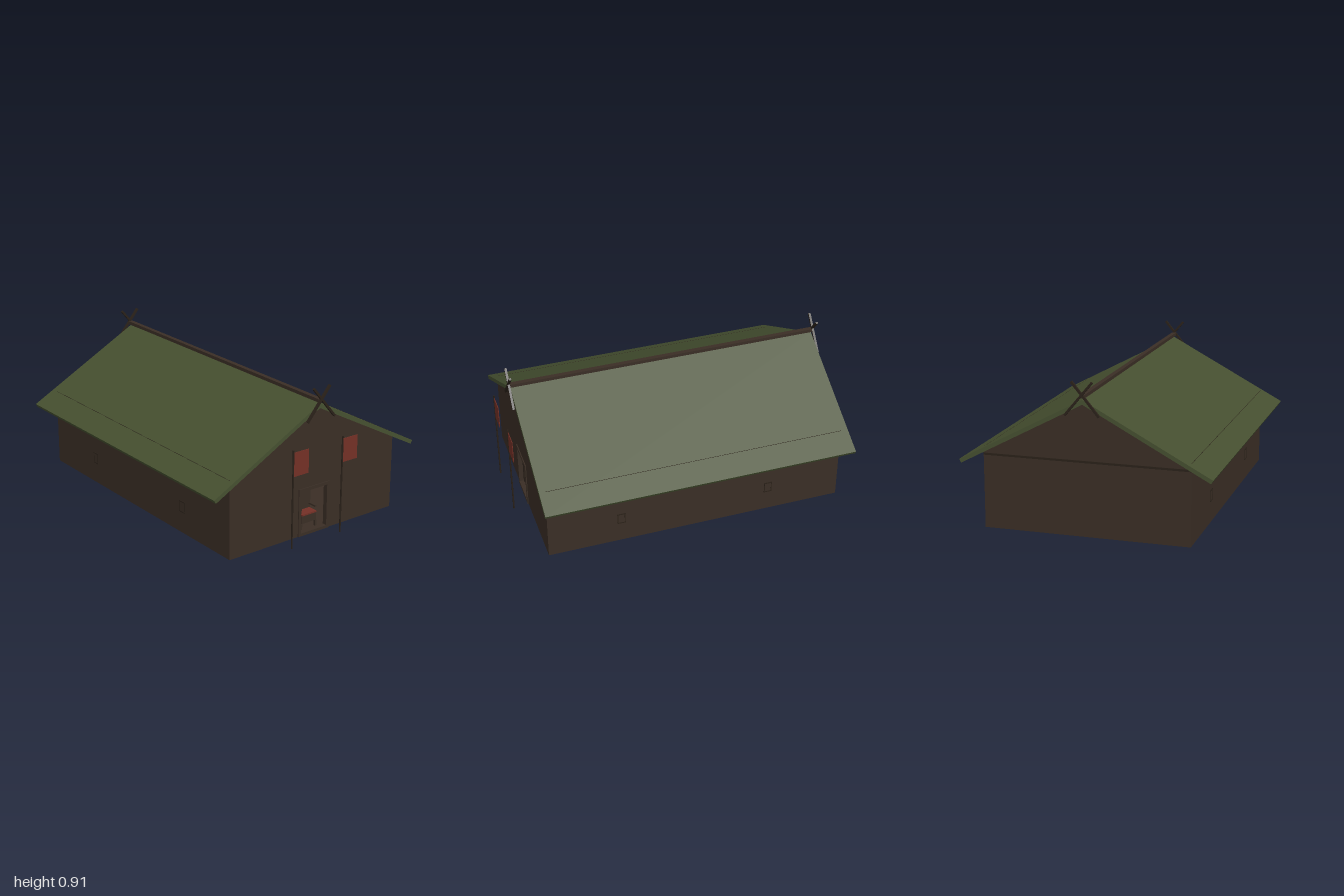
import * as THREE from 'three';

const mat = (name, color) => {
  const m = new THREE.MeshStandardMaterial({ color });
  m.name = name;
  return m;
};

export function createModel() {
  const house = new THREE.Group();
  house.name = 'longhouse';

  const timber = mat('timber brown', 0x3a2e25);
  const darkTimber = mat('dark timber', 0x2a2119);
  const turf = mat('turf green', 0x465030);
  const cloth = mat('red cloth', 0x743026);

  const add = (name, geometry, material, x = 0, y = 0, z = 0, parent = house) => {
    const mesh = new THREE.Mesh(geometry, material);
    mesh.name = name;
    mesh.position.set(x, y, z);
    parent.add(mesh);
    return mesh;
  };
  // Box given by its lower and upper limits on each axis
  const box = (name, material, x0, x1, y0, y1, z0, z1, parent) =>
    add(name, new THREE.BoxGeometry(x1 - x0, y1 - y0, z1 - z0), material,
      (x0 + x1) / 2, (y0 + y1) / 2, (z0 + z1) / 2, parent);
  const extrude = (points, depth, hole) => {
    const shape = new THREE.Shape(points.map(([x, y]) => new THREE.Vector2(x, y)));
    if (hole) shape.holes.push(new THREE.Path(hole.map(([x, y]) => new THREE.Vector2(x, y))));
    return new THREE.ExtrudeGeometry(shape, { depth, bevelEnabled: false });
  };

  // Gable walls, the front one with a doorway
  const W = 0.612, FRONT = 0.9, BACK = -0.94, T = 0.02;
  const gable = [[-W, 0], [W, 0], [W, 0.465], [0, 0.79], [-W, 0.465]];
  const doorway = [[-0.097, 0.015], [-0.097, 0.277], [0.097, 0.277], [0.097, 0.015]];
  add('frontWall', extrude(gable, T, doorway), timber, 0, 0, FRONT - T);
  add('backWall', extrude(gable, T), timber, 0, 0, BACK);
  box('backTieBeam', darkTimber, -W, W, 0.435, 0.447, BACK - 0.004, BACK);

  // Floor and side walls with small shuttered windows
  box('floor', timber, -W + T, W - T, 0, 0.012, BACK + T, FRONT - T);
  for (const s of [-1, 1]) {
    add('sideWall', new THREE.BoxGeometry(T, 0.46, FRONT - BACK - 2 * T), timber,
      s * (W - T / 2), 0.23, (FRONT + BACK) / 2);
    add('wallPlate', new THREE.BoxGeometry(0.006, 0.016, FRONT - BACK), darkTimber,
      s * (W - 0.003), 0.474, (FRONT + BACK) / 2);
    for (const z of [0.45, -0.48]) {
      const window = new THREE.Group();
      window.name = 'sideWindow';
      window.position.set(s * (W + 0.001), 0.165, z);
      house.add(window);
      add('shutter', new THREE.BoxGeometry(0.002, 0.06, 0.04), timber, 0, 0, 0, window);
      for (const e of [-1, 1]) {
        add('windowRail', new THREE.BoxGeometry(0.006, 0.006, 0.052), darkTimber, 0, e * 0.032, 0, window);
        add('windowStile', new THREE.BoxGeometry(0.004, 0.06, 0.005), darkTimber, 0, 0, e * 0.022, window);
      }
    }
  }

  // Roof: one chevron section along the length of the house
  const roof = [[-0.745, 0.41], [-0.733, 0.389], [0, 0.78], [0.733, 0.389], [0.745, 0.41], [0, 0.807]];
  add('roof', extrude(roof, 1.92), turf, 0, 0, -0.985);
  box('ridgeBeam', timber, -0.014, 0.014, 0.816, 0.836, -0.985, 0.937);

  // Crossed gable finials
  const a = [0.1, 0.717], b = [-0.06, 0.909];
  const length = Math.hypot(b[0] - a[0], b[1] - a[1]);
  const lean = Math.atan2(a[0] - b[0], b[1] - a[1]);
  for (const z of [0.945, -0.993]) {
    for (const s of [-1, 1]) {
      const bar = add('crossedFinial', new THREE.BoxGeometry(0.013, length, 0.014), darkTimber,
        s * (a[0] + b[0]) / 2, (a[1] + b[1]) / 2, z);
      bar.rotation.z = s * lean;
    }
  }

  // Door frame, threshold and the leaf standing open inwards
  for (const s of [-1, 1])
    box('doorJamb', timber, s * 0.106 - 0.009, s * 0.106 + 0.009, 0, 0.297, 0.876, 0.906);
  box('doorLintel', timber, -0.097, 0.097, 0.277, 0.297, 0.876, 0.906);
  box('threshold', timber, -0.097, 0.097, 0, 0.018, 0.876, 0.906);
  box('doorLeaf', darkTimber, -0.095, -0.077, 0.015, 0.272, 0.7, 0.878);
  for (const y of [0.035, 0.245])
    box('doorBrace', darkTimber, -0.077, -0.066, y - 0.012, y + 0.012, 0.71, 0.87);

  // High seat just inside the doorway
  const seat = new THREE.Group();
  seat.name = 'highSeat';
  house.add(seat);
  box('seatBack', timber, -0.06, 0.06, 0.012, 0.272, 0.79, 0.802, seat);
  box('seatBase', timber, -0.056, 0.056, 0.05, 0.1, 0.802, 0.862, seat);
  box('seatCushion', cloth, -0.054, 0.054, 0.1, 0.11, 0.802, 0.866, seat);
  for (const x of [-0.055, 0.055]) {
    box('seatLeg', timber, x - 0.006, x + 0.006, 0.012, 0.05, 0.85, 0.862, seat);
    box('seatArm', timber, x - 0.006, x + 0.006, 0.13, 0.14, 0.802, 0.856, seat);
  }

  // Banner poles
  for (const x of [-0.24, 0.125]) {
    add('bannerPole', new THREE.CylinderGeometry(0.005, 0.005, 0.6, 8), darkTimber, x, 0.3, 0.995);
    box('banner', cloth, x + 0.005, x + 0.112, 0.44, 0.585, 0.993, 0.997);
  }

  return house;
}
